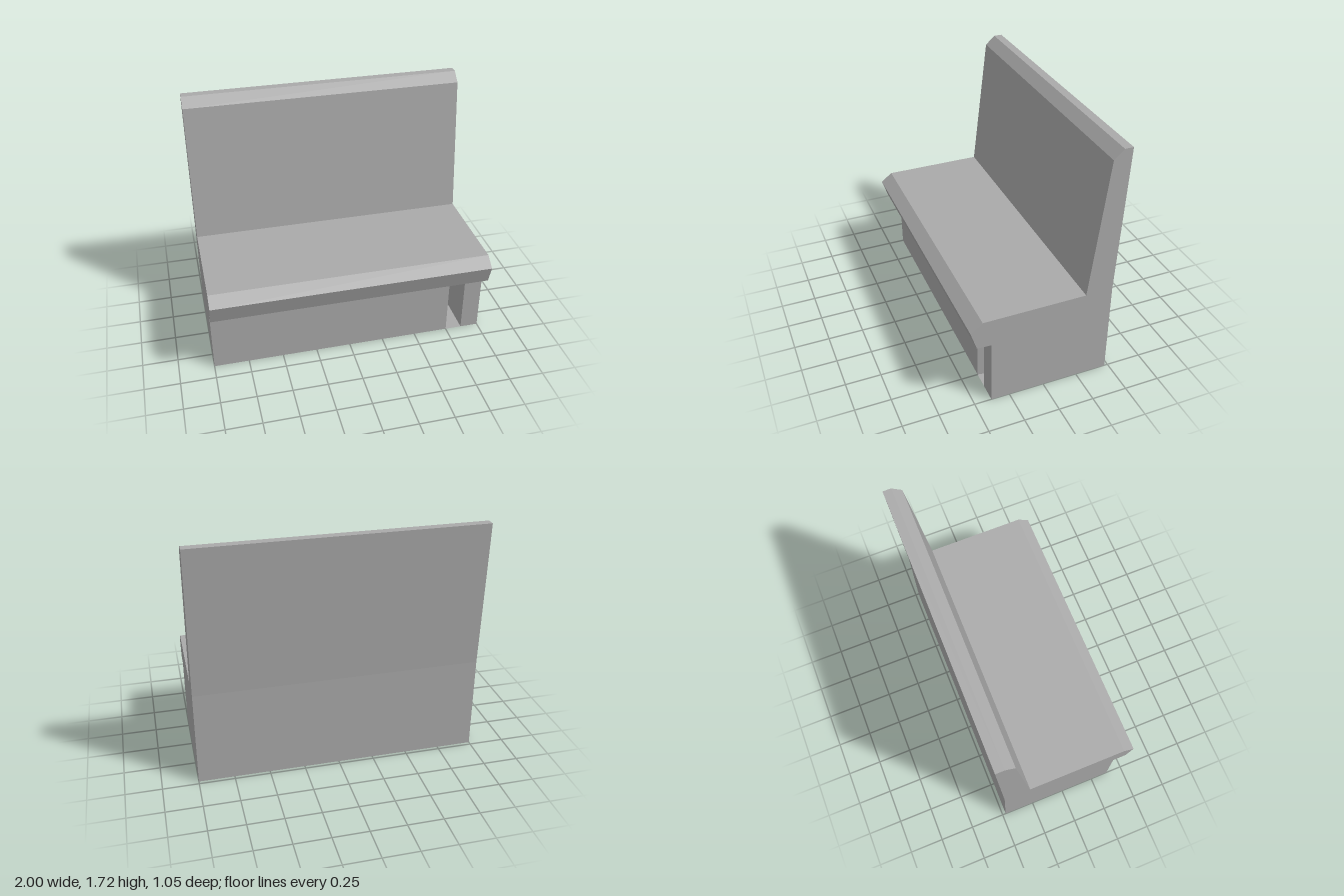
import * as THREE from 'three';

const grey = new THREE.MeshStandardMaterial({ color: 0xaaaaaa });
grey.name = 'plain grey';
const greyDouble = grey.clone();
greyDouble.side = THREE.DoubleSide;

const BASE_TOP = 0.48, FRONT = 0.38, BACK = -0.475;

// Shape from pairs of points
const shapeOf = (points) => new THREE.Shape(points.map(([a, b]) => new THREE.Vector2(a, b)));

function part(name, geometry, material = grey) {
  const mesh = new THREE.Mesh(geometry, material);
  mesh.name = name;
  return mesh;
}

// Side profile given as [z, y], swept across the full width
function sweepAcross(profile) {
  const shape = shapeOf(profile.map(([z, y]) => [-z, y]));
  return new THREE.ExtrudeGeometry(shape, { depth: 2, bevelEnabled: false })
    .translate(0, 0, -1)
    .rotateY(Math.PI / 2);
}

export function createModel() {
  const bench = new THREE.Group();
  bench.name = 'bench';

  // Seat with overhanging front lip, and the tapered, leaning backrest
  bench.add(part('seatAndBackrest', sweepAcross([
    [BACK, BASE_TOP], [FRONT, BASE_TOP], [0.48, 0.485], [0.523, 0.62], [0.44, 0.682],
    [-0.283, 0.682], [-0.394, 1.66], [-0.463, 1.723], [-0.523, 1.723], [BACK, 0.68],
  ])));

  // Base block with a wedge-shaped slot cut in from the front
  const slot = [[0.75, FRONT], [0.87, BACK + 0.005], [0.87, FRONT]];
  const footprint = [[-1, FRONT], ...slot, [1, FRONT], [1, BACK], [-1, BACK]];
  const flip = (points) => points.map(([x, z]) => [x, -z]);
  bench.add(part('base', new THREE.ExtrudeGeometry(
    shapeOf(flip(footprint)), { depth: BASE_TOP, bevelEnabled: false },
  ).rotateX(-Math.PI / 2)));

  // Floor of the slot
  bench.add(part('slotFloor',
    new THREE.ShapeGeometry(shapeOf(flip(slot))).rotateX(-Math.PI / 2), greyDouble));

  return bench;
}
